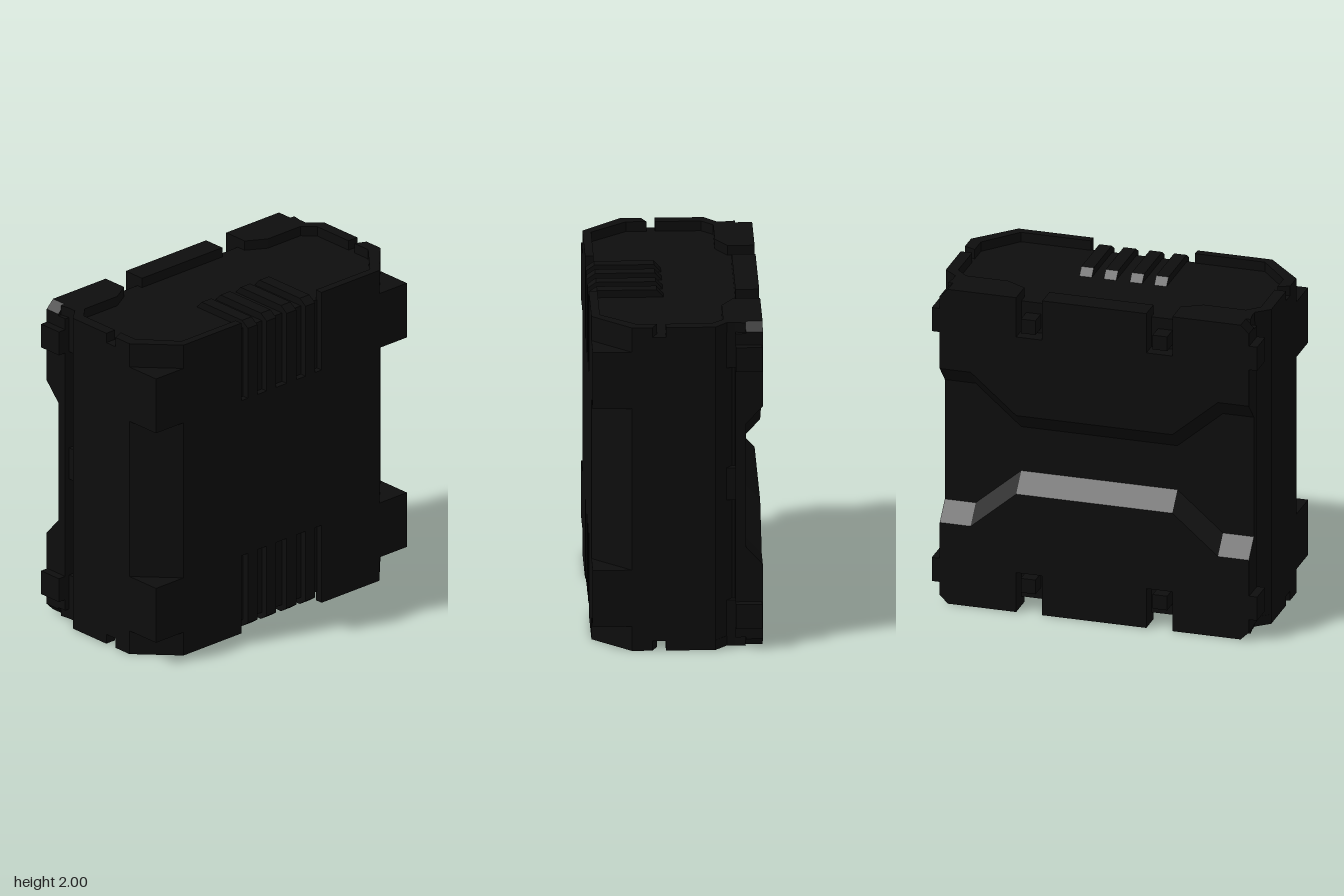
import * as THREE from 'three';

const black = new THREE.MeshStandardMaterial({ color: 0x0d0d0d });
black.name = 'matte black';

const mirrorX = (pts) => pts.map(([x, y]) => [-x, y]);
// closes a half outline (drawn on +x) with its mirror image
const symmetric = (pts) => [...pts, ...mirrorX(pts).reverse()];
const toShape = (pts) => new THREE.Shape(pts.map(([x, y]) => new THREE.Vector2(x, y)));

function add(group, name, geometry) {
  const mesh = new THREE.Mesh(geometry, black);
  mesh.name = name;
  group.add(mesh);
  return mesh;
}

// upright prism from an outline in x and z
function prism(pts, y0, y1) {
  const g = new THREE.ExtrudeGeometry(toShape(pts), { depth: y1 - y0, bevelEnabled: false });
  return g.rotateX(Math.PI / 2).translate(0, y1, 0);
}

function box(x0, x1, y0, y1, z0, z1) {
  return new THREE.BoxGeometry(x1 - x0, y1 - y0, z1 - z0)
    .translate((x0 + x1) / 2, (y0 + y1) / 2, (z0 + z1) / 2);
}

// rib that wraps over the front edge onto the end face
function ribGeometry(x0, x1) {
  const profile = [[0.05, 0.93], [0.1, 0.985], [0.45, 0.985], [0.5, 0.95], [0.5, 0.5], [0.44, 0.5], [0.44, 0.93]];
  const g = new THREE.ExtrudeGeometry(toShape(profile.map(([z, y]) => [-z, y])), { depth: x1 - x0, bevelEnabled: false });
  return g.rotateY(Math.PI / 2).translate(x0, 0, 0);
}

// raised rear panel with clip notches and a sloping stepped groove edge
function rearPanelGeometry() {
  const half = [
    [0.32, 1], [0.32, 0.75], [0.48, 0.75], [0.48, 1], [0.9, 1], [0.95, 0.95],
    [0.95, 0.38], [0.76, 0.38], [0.48, 0.14],
  ];
  const g = new THREE.ExtrudeGeometry(toShape(symmetric(half)), { depth: 0.1, bevelEnabled: false });
  g.translate(0, 0, -0.5);
  const p = g.attributes.position;
  for (let i = 0; i < p.count; i++) {
    if (p.getZ(i) < -0.45 && p.getY(i) < 0.6) p.setY(i, p.getY(i) + 0.11);
  }
  g.computeVertexNormals();
  return g;
}

// one end of the case, measured up from the middle height
function buildHalf() {
  const half = new THREE.Group();
  const sideAndBack = [[0.78, 0.5], [1, 0.27], [1, -0.22], [0.88, -0.32], [0.88, -0.34], [0.95, -0.34], [0.95, -0.4]];

  add(half, 'middleBody', prism(symmetric([[0.32, 0.5], ...sideAndBack]), 0, 0.5));
  add(half, 'endBody', prism(symmetric([[0.32, 0.46], [0.32, 0.5], ...sideAndBack]), 0.5, 0.94));

  // grip ribs
  for (const x of [-0.23, -0.08, 0.08, 0.23]) add(half, 'gripRib', ribGeometry(x - 0.038, x + 0.038));

  // raised rim around the end face, broken by slots
  const frontRim = [[0.32, 0.5], [0.78, 0.5], [1, 0.27], [1, 0.15], [0.93, 0.12], [0.93, 0.24], [0.75, 0.45], [0.32, 0.45]];
  const backRim = [
    [1, 0.07], [1, -0.22], [0.92, -0.29], [0.92, -0.34], [0.93, -0.4], [0.48, -0.4],
    [0.48, -0.34], [0.6, -0.27], [0.86, -0.27], [0.93, -0.2], [0.93, 0.07],
  ];
  for (const side of [1, -1]) {
    const flip = (pts) => (side > 0 ? pts : mirrorX(pts));
    add(half, 'frontRim', prism(flip(frontRim), 0.94, 1));
    add(half, 'backRim', prism(flip(backRim), 0.94, 1));

    // solid corner guard over the front chamfer
    add(half, 'cornerGuard', prism(flip([[0.78, 0.5], [1, 0.5], [1, 0.27]]), 0.5, 0.85));

    const span = (a, b) => (side > 0 ? [a, b] : [-b, -a]);
    add(half, 'rearTab', box(...span(0.93, 1), 0.72, 0.87, -0.495, -0.34));
    add(half, 'neckPad', box(...span(0.86, 0.92), 0.72, 0.97, -0.35, -0.285));
    add(half, 'middleNeckPad', box(...span(0.86, 0.92), 0, 0.1, -0.35, -0.285));
    add(half, 'rearClip', box(...span(0.36, 0.45), 0.78, 0.87, -0.505, -0.39));
  }
  add(half, 'middleBackRim', box(-0.32, 0.32, 0.94, 1, -0.4, -0.36));
  add(half, 'rearPanel', rearPanelGeometry());
  return half;
}

export function createModel() {
  const model = new THREE.Group();
  model.name = 'case';
  const top = buildHalf();
  top.name = 'upperHalf';
  top.position.y = 1;
  const bottom = buildHalf();
  bottom.name = 'lowerHalf';
  bottom.position.y = 1;
  bottom.rotation.z = Math.PI;
  model.add(top, bottom);
  return model;
}
